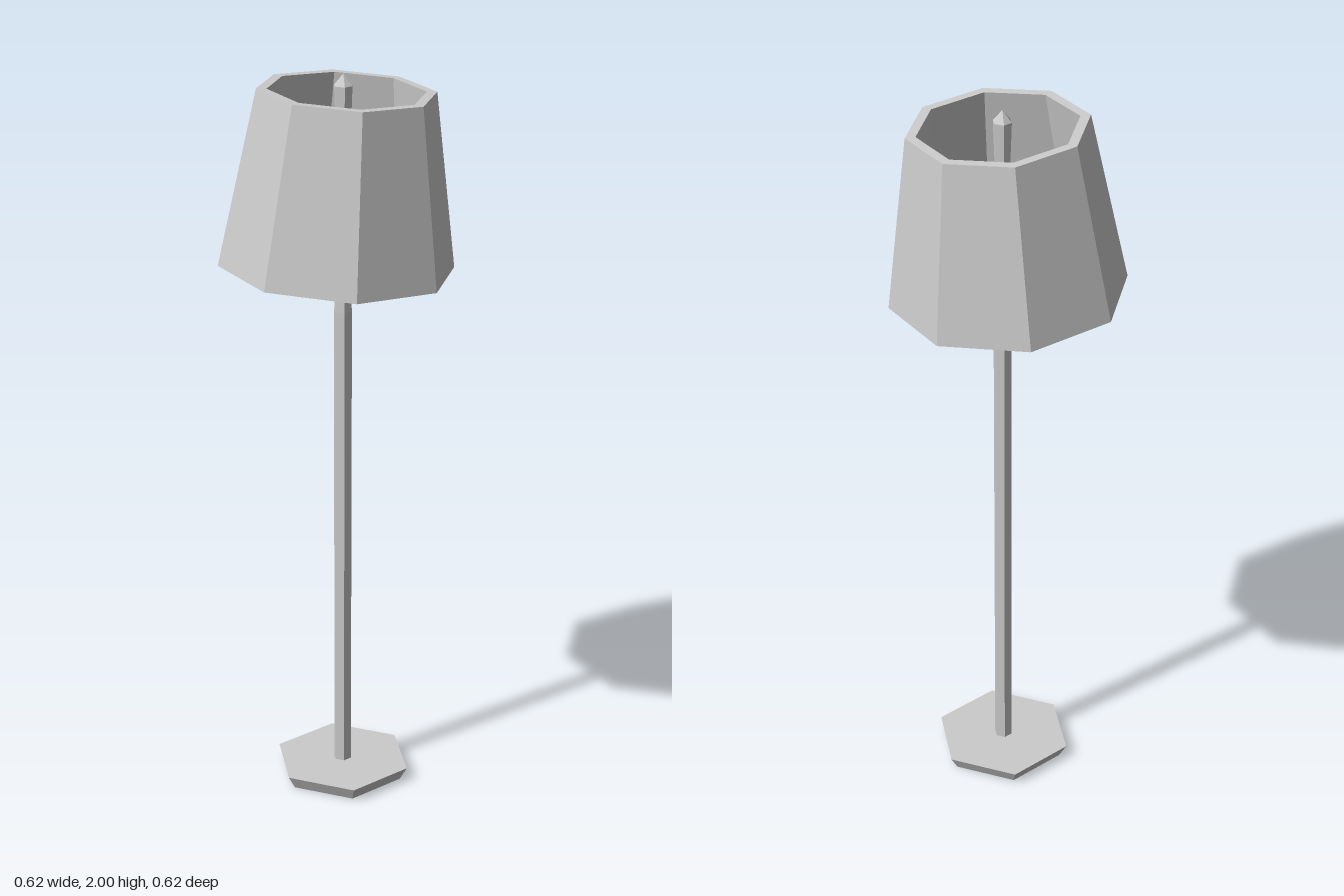
import * as THREE from 'three';

// Low-poly turned part: profile of [radius, height] pairs, running up the outside
function turned(name, profile, sides) {
  const points = profile.map(([r, y]) => new THREE.Vector2(r, y));
  const geometry = new THREE.LatheGeometry(points, sides).toNonIndexed();
  geometry.computeVertexNormals();
  const material = new THREE.MeshStandardMaterial({ color: 0xcccccc, flatShading: true });
  const mesh = new THREE.Mesh(geometry, material);
  mesh.name = name;
  return mesh;
}

export function createModel() {
  const lamp = new THREE.Group();
  lamp.name = 'floorLamp';
  const standX = 0.016;

  // Hexagonal foot, wider at the top
  const base = turned('base', [[0, 0], [0.172, 0], [0.193, 0.038], [0, 0.038]], 6);

  // Hexagonal pole, tapering to a thin neck inside the shade
  const pole = turned('pole', [[0, 0.03], [0.025, 0.03], [0.025, 1.37], [0.007, 1.64], [0, 1.64]], 6);

  // Slim bulb with a pointed tip
  const bulb = turned('bulb', [[0, 1.63], [0.007, 1.63], [0.021, 1.86], [0.025, 1.97], [0, 2]], 6);

  for (const part of [base, pole, bulb]) {
    part.position.x = standX;
    lamp.add(part);
  }

  // Octagonal shade, open at both ends, with a thick wall and a slight tilt
  const wall = 0.027;
  const [bottomR, topR, height] = [0.312, 0.233, 0.466];
  const shade = turned('shade', [
    [bottomR, 0], [topR, height], [topR - wall, height], [bottomR - wall, 0], [bottomR, 0],
  ], 8);
  shade.position.y = 1.492;
  shade.rotation.z = -0.056;
  lamp.add(shade);

  return lamp;
}
